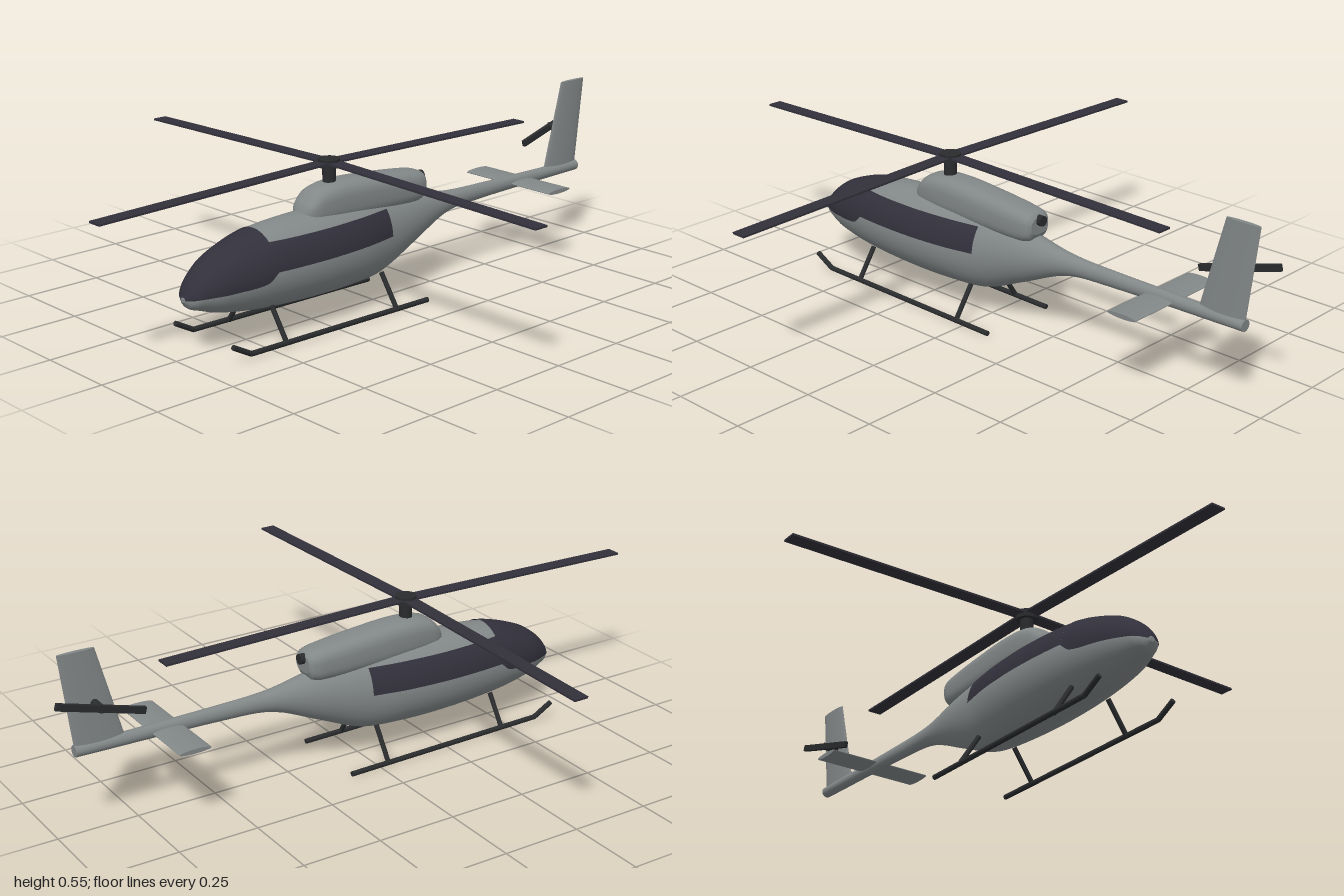
import * as THREE from 'three';

const paint = (name, color) => Object.assign(new THREE.MeshStandardMaterial({ color }), { name });

// Smooth interpolation through rows [x, a, b, c...] sorted by x
function sample(rows, x) {
  const n = rows.length;
  let i = 0;
  while (i < n - 2 && x > rows[i + 1][0]) i++;
  const slope = (k, c) => {
    const p = rows[Math.max(k - 1, 0)], q = rows[Math.min(k + 1, n - 1)];
    return (q[c] - p[c]) / (q[0] - p[0]);
  };
  const p = rows[i], q = rows[i + 1], h = q[0] - p[0], t = (x - p[0]) / h;
  return p.map((v, c) => c === 0 ? x
    : v * (1 + 2 * t) * (1 - t) ** 2 + q[c] * t * t * (3 - 2 * t)
      + h * (slope(i, c) * t * (1 - t) ** 2 - slope(i + 1, c) * t * t * (1 - t)));
}

// Skin over rings of [x, y, z] points; closed rings get end caps
function loft(rings, closed) {
  const pos = rings.flat(2), index = [], n = rings[0].length;
  for (let i = 0; i < rings.length - 1; i++) {
    for (let j = 0; j < (closed ? n : n - 1); j++) {
      const k = (j + 1) % n, a = i * n + j, b = a + n, c = i * n + k, d = c + n;
      index.push(a, b, c, b, d, c);
    }
  }
  if (closed) {
    [rings[0], rings[rings.length - 1]].forEach((ring, end) => {
      const base = pos.length / 3;
      pos.push(...ring.flat());
      for (let j = 1; j < n - 1; j++) {
        index.push(base, base + (end ? j + 1 : j), base + (end ? j : j + 1));
      }
    });
  }
  const g = new THREE.BufferGeometry();
  g.setAttribute('position', new THREE.Float32BufferAttribute(pos, 3));
  g.setIndex(index);
  g.computeVertexNormals();
  return g;
}

// Rounded section around the x axis; power below 1 makes it boxier
function ring(x, cy, ry, cz, rz, power = 1, n = 40) {
  const bend = v => Math.sign(v) * Math.abs(v) ** power;
  return Array.from({ length: n }, (_, j) => {
    const t = j / n * Math.PI * 2;
    return [x, cy + ry * bend(Math.sin(t)), cz + rz * bend(Math.cos(t))];
  });
}

// Rows: x, bottom, top, half width
const HULL = [
  [-0.72, 0.165, 0.178, 0.008], [-0.705, 0.145, 0.205, 0.035], [-0.675, 0.133, 0.24, 0.056],
  [-0.61, 0.112, 0.283, 0.084], [-0.473, 0.091, 0.326, 0.11], [-0.286, 0.08, 0.34, 0.12],
  [-0.12, 0.08, 0.338, 0.11], [0, 0.09, 0.332, 0.088], [0.14, 0.147, 0.315, 0.062],
  [0.3, 0.214, 0.287, 0.03], [0.436, 0.228, 0.28, 0.021], [0.933, 0.238, 0.273, 0.018],
];
const COWL = [
  [-0.295, 0.31, 0.335, 0.02], [-0.28, 0.3, 0.365, 0.042], [-0.24, 0.295, 0.4, 0.054],
  [-0.15, 0.29, 0.413, 0.06], [0, 0.285, 0.404, 0.06], [0.14, 0.285, 0.389, 0.055],
  [0.18, 0.295, 0.38, 0.048], [0.192, 0.315, 0.368, 0.036],
];
// Lower edge of the windscreen: x, y
const SILL = [[-0.72, 0.173], [-0.69, 0.179], [-0.6, 0.186], [-0.5, 0.196], [-0.467, 0.222]];

function body(rows, steps, power) {
  const rings = [];
  for (let i = 0; i < rows.length - 1; i++) {
    for (let s = 0; s < steps; s++) rings.push(rows[i][0] + (rows[i + 1][0] - rows[i][0]) * s / steps);
  }
  rings.push(rows[rows.length - 1][0]);
  return loft(rings.map(x => {
    const [, lo, hi, w] = sample(rows, x);
    return ring(x, (lo + hi) / 2, (hi - lo) / 2, 0, w, power);
  }), true);
}

// Thin glass lying just outside the hull; range(angleOf, x) gives the start and end angle
function glassPatch(x0, x1, range) {
  const rings = [], nx = 40, na = 32;
  for (let i = 0; i <= nx; i++) {
    const x = x0 + (x1 - x0) * (i / nx) ** 1.3;
    const [, lo, hi, w] = sample(HULL, x);
    const cy = (lo + hi) / 2, ry = (hi - lo) / 2 + 0.003, rz = w + 0.003;
    const angleOf = y => Math.asin(THREE.MathUtils.clamp((y - cy) / ry, -1, 1));
    const [a, b] = range(angleOf, x);
    rings.push(Array.from({ length: na + 1 }, (_, j) => {
      const t = a + (b - a) * j / na;
      return [x, cy + ry * Math.sin(t), rz * Math.cos(t)];
    }));
  }
  return loft(rings, false);
}

export function createModel() {
  const model = new THREE.Group();
  model.name = 'helicopter';
  const grey = paint('bodyGrey', 0x828788);
  const glass = paint('darkGlass', 0x32303b);
  glass.side = THREE.DoubleSide;
  const bladeMat = paint('bladeDark', 0x32303a);
  const black = paint('metalBlack', 0x292b2d);

  const add = (name, geo, mat, parent = model) => {
    const m = new THREE.Mesh(geo, mat);
    m.name = name;
    parent.add(m);
    return m;
  };
  const rod = (name, a, b, r, mat = black) => {
    const p = new THREE.Vector3(...a), q = new THREE.Vector3(...b), d = q.clone().sub(p);
    const m = add(name, new THREE.CylinderGeometry(r, r, d.length(), 16), mat);
    m.position.copy(p).add(q).multiplyScalar(0.5);
    m.quaternion.setFromUnitVectors(new THREE.Vector3(0, 1, 0), d.normalize());
    return m;
  };

  // Fuselage with tail boom, and engine cowling
  add('fuselage', body(HULL, 5, 1), grey);
  add('engineCowl', body(COWL, 4, 0.7), grey);
  rod('exhaust', [0.17, 0.358, 0], [0.206, 0.358, 0], 0.016);

  // Windscreen and side windows
  add('windscreen', glassPatch(-0.72, -0.467, (angleOf, x) => {
    const a = angleOf(sample(SILL, x)[1]);
    return [a, Math.PI - a];
  }), glass);
  add('leftWindow', glassPatch(-0.467, 0, f => [f(0.223), f(0.303)]), glass);
  add('rightWindow', glassPatch(-0.467, 0, f => [Math.PI - f(0.303), Math.PI - f(0.223)]), glass);

  // Main rotor with four drooping blades
  rod('mast', [-0.175, 0.38, 0], [-0.175, 0.465, 0], 0.02);
  rod('rotorHub', [-0.175, 0.455, 0], [-0.175, 0.48, 0], 0.033);
  for (let i = 0; i < 4; i++) {
    const arm = new THREE.Group();
    arm.name = 'mainBlade';
    arm.position.set(-0.175, 0.47, 0);
    arm.rotation.set(0, i * Math.PI / 2, -0.02, 'YXZ');
    add('blade', new THREE.BoxGeometry(0.815, 0.006, 0.046).translate(0.4175, 0, 0), bladeMat, arm);
    model.add(arm);
  }

  // Tail fin and stabiliser, lofted along x and turned into place
  const fin = add('tailFin', loft([
    ring(0.245, -0.851, 0.079, 0, 0.011), ring(0.55, -0.909, 0.056, 0, 0.007),
  ], true), grey);
  fin.rotation.z = Math.PI / 2;
  const stabiliser = add('stabiliser', loft([-0.18, 0.18].map(x => ring(x, 0.254, 0.007, -0.65, 0.05)), true), grey);
  stabiliser.rotation.y = -Math.PI / 2;

  // Tail rotor on the right side of the fin
  rod('tailRotorShaft', [0.867, 0.39, 0], [0.867, 0.39, -0.06], 0.012);
  const tailBlade = add('tailRotorBlade', new THREE.BoxGeometry(0.275, 0.02, 0.012), black);
  tailBlade.position.set(0.867, 0.39, -0.053);
  tailBlade.rotation.z = 0.28;

  // Landing skids with struts
  for (const s of [1, -1]) {
    const z = 0.132 * s;
    rod('skid', [0.105, 0.008, z], [-0.59, 0.017, z], 0.008);
    rod('skidToe', [-0.588, 0.017, z], [-0.652, 0.052, z], 0.008);
    for (const x of [-0.457, -0.026]) rod('strut', [x, 0.012, z], [x, 0.11, 0.066 * s], 0.0075);
  }
  return model;
}
